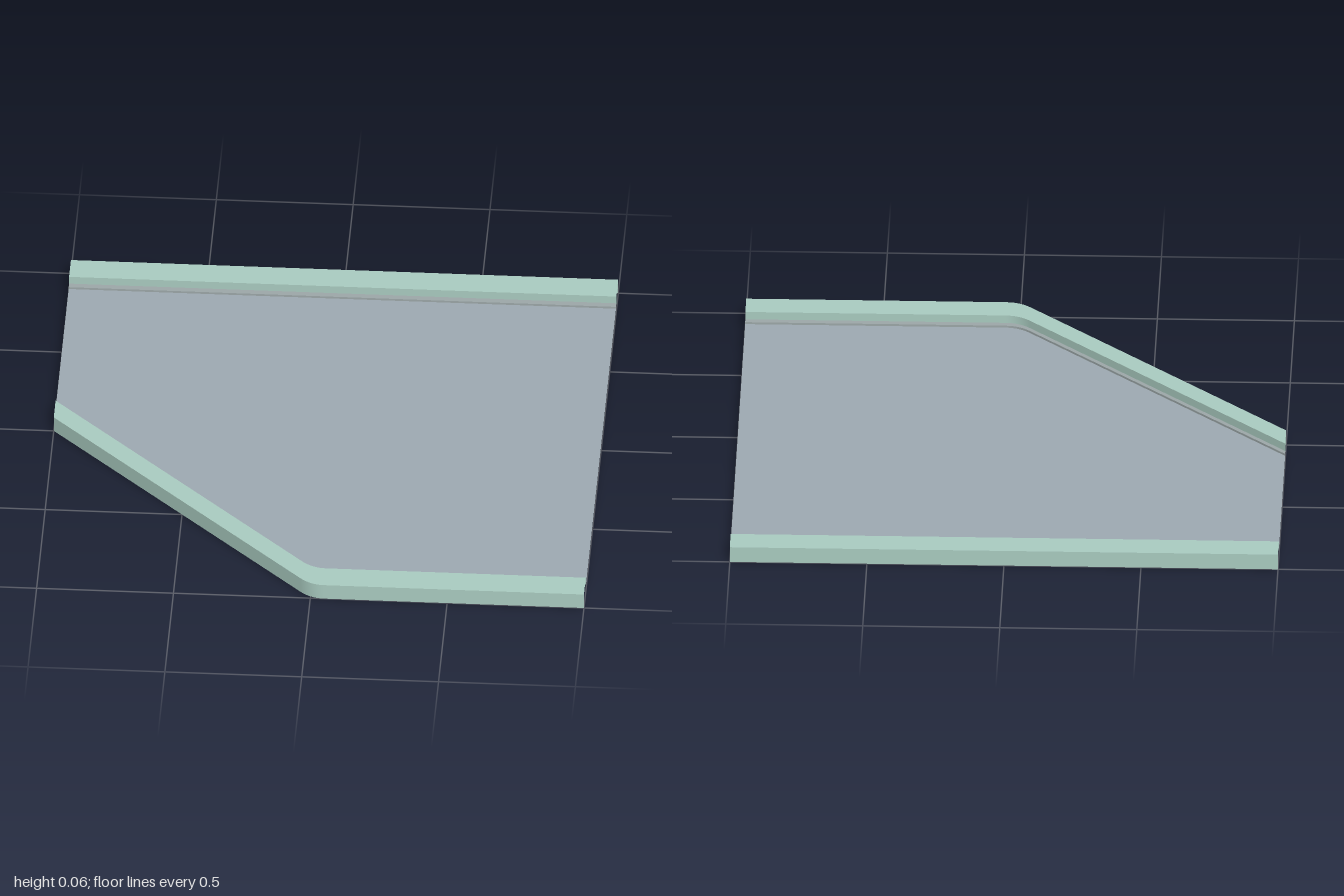
import * as THREE from 'three';

const sheet = (name, color) => {
  const m = new THREE.MeshStandardMaterial({ color, side: THREE.DoubleSide });
  m.name = name;
  return m;
};

// Thin strip following a path of [x, z]; each edge is shifted in z and set at a height
function strip(path, [shiftA, yA], [shiftB, yB]) {
  const pos = [], index = [];
  path.forEach(([x, z], i) => {
    pos.push(x, yA, z + shiftA, x, yB, z + shiftB);
    if (i) {
      const a = 2 * i - 2;
      index.push(a, a + 2, a + 1, a + 1, a + 2, a + 3);
    }
  });
  const g = new THREE.BufferGeometry();
  g.setAttribute('position', new THREE.Float32BufferAttribute(pos, 3));
  g.setIndex(index);
  g.computeVertexNormals();
  return g;
}

export function createModel() {
  const group = new THREE.Group();
  const green = sheet('kerb green', 0xa9cbc0);
  const grey = sheet('floor grey', 0x9da9b1);
  const trim = sheet('trim grey', 0x9ca7a8);

  // Outer lines: straight back, and front with a rounded bend into the diagonal
  const back = [[-1, -1], [1, -1]];
  const bend = new THREE.QuadraticBezierCurve(
    new THREE.Vector2(-0.04, 0.96), new THREE.Vector2(0, 1), new THREE.Vector2(0.05, 1));
  const front = [[-1, 0], ...bend.getPoints(8).map(p => [p.x, p.y]), [1, 1]];

  const topY = 0.06, ledgeY = 0.03, floorY = 0.022;
  const wall = 0.107, inner = 0.13;

  // Kerbs: outer wall, top, inner wall, then a small ledge stepping down to the floor
  for (const [side, path, s] of [['back', back, 1], ['front', front, -1]]) {
    const kerb = new THREE.Group();
    kerb.name = side + 'Kerb';
    const profile = [[0, 0], [0, topY], [s * wall, topY], [s * wall, ledgeY],
      [s * inner, ledgeY], [s * inner, floorY]];
    const parts = ['outerWall', 'top', 'innerWall', 'ledge', 'step'];
    parts.forEach((part, i) => {
      const mesh = new THREE.Mesh(strip(path, profile[i], profile[i + 1]), i < 3 ? green : trim);
      mesh.name = side + part[0].toUpperCase() + part.slice(1);
      kerb.add(mesh);
    });
    group.add(kerb);
  }

  // Floor sheet between the two ledges
  const outline = [
    ...back.map(([x, z]) => new THREE.Vector2(x, -(z + inner))),
    ...front.slice().reverse().map(([x, z]) => new THREE.Vector2(x, -(z - inner))),
  ];
  const floorGeometry = new THREE.ShapeGeometry(new THREE.Shape(outline));
  floorGeometry.rotateX(-Math.PI / 2);
  const floor = new THREE.Mesh(floorGeometry, grey);
  floor.name = 'floor';
  floor.position.y = floorY;
  group.add(floor);

  return group;
}
